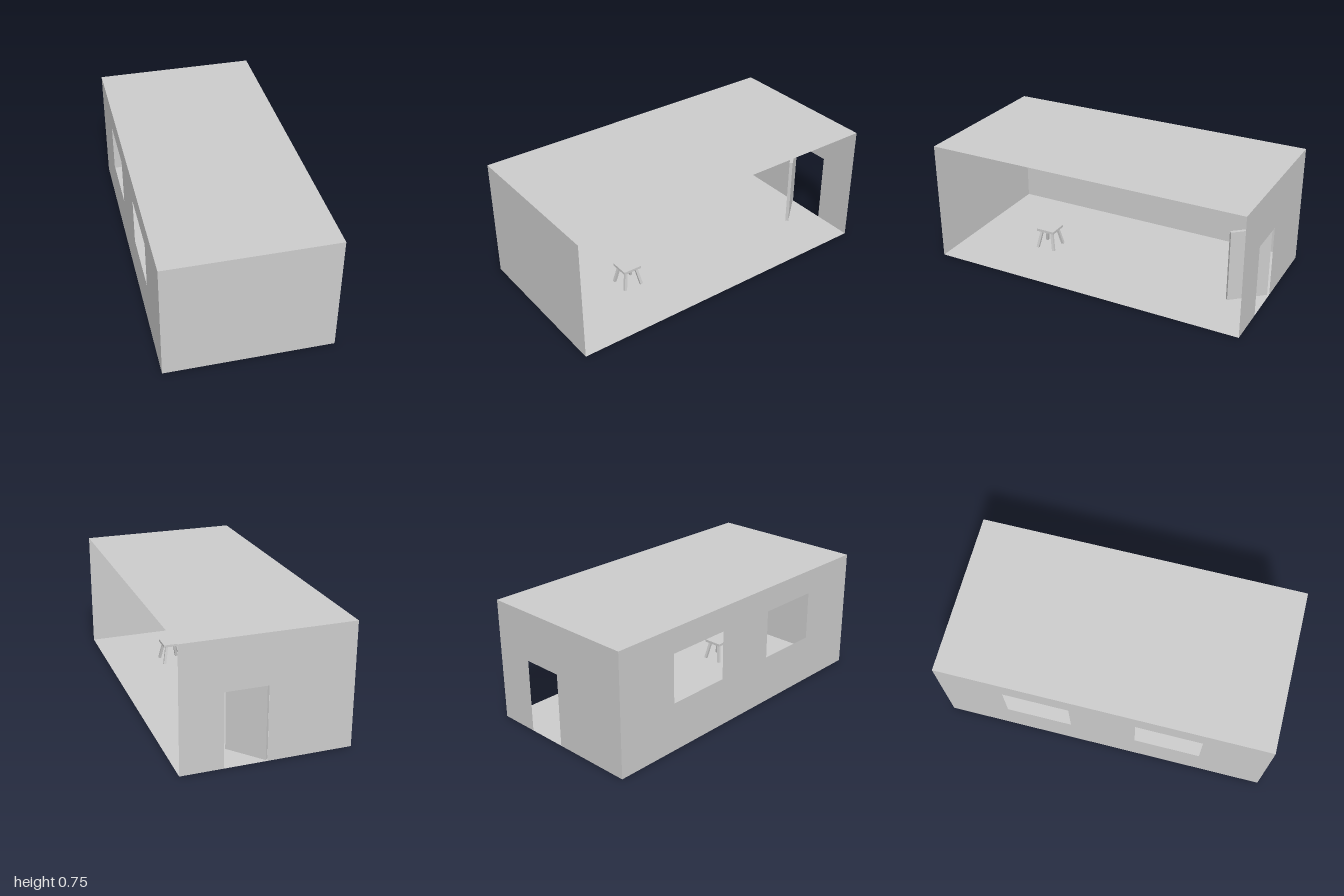
import * as THREE from 'three';

const W = 1, D = 2, H = 0.75, FLOOR = 0.002;
const sheetMat = new THREE.MeshStandardMaterial({ color: 0xcccccc, side: THREE.DoubleSide });
const solidMat = new THREE.MeshStandardMaterial({ color: 0xcccccc });

function polygon(points, Kind = THREE.Shape) {
  return new Kind(points.map(([x, y]) => new THREE.Vector2(x, y)));
}

function rect(x0, y0, x1, y1, Kind) {
  return polygon([[x0, y0], [x1, y0], [x1, y1], [x0, y1]], Kind);
}

function sheet(name, shape) {
  const mesh = new THREE.Mesh(new THREE.ShapeGeometry(shape), sheetMat);
  mesh.name = name;
  return mesh;
}

function box(name, w, h, d) {
  const mesh = new THREE.Mesh(new THREE.BoxGeometry(w, h, d), solidMat);
  mesh.name = name;
  return mesh;
}

// Thin room shell, open on the +x side
function createRoom() {
  const room = new THREE.Group();
  room.name = 'room';

  for (const [name, y] of [['floor', FLOOR], ['ceiling', H]]) {
    const slab = sheet(name, rect(-W / 2, -D / 2, W / 2, D / 2));
    slab.rotation.x = -Math.PI / 2;
    slab.position.y = y;
    room.add(slab);
  }

  const frontWall = sheet('frontWall', rect(-W / 2, FLOOR, W / 2, H));
  frontWall.position.z = D / 2;

  // Back wall with a doorway notched into its lower edge
  const backWall = sheet('backWall', polygon([
    [-W / 2, FLOOR], [0, FLOOR], [0, 0.45], [0.25, 0.45], [0.25, FLOOR],
    [W / 2, FLOOR], [W / 2, H], [-W / 2, H],
  ]));
  backWall.position.z = -D / 2;

  // Long wall with two windows
  const windowShape = rect(-D / 2, FLOOR, D / 2, H);
  for (const z of [-0.4, 0.4]) {
    windowShape.holes.push(rect(z - 0.2, 0.3, z + 0.2, 0.6, THREE.Path));
  }
  const windowWall = sheet('windowWall', windowShape);
  windowWall.rotation.y = -Math.PI / 2;
  windowWall.position.x = -W / 2;

  room.add(frontWall, backWall, windowWall);
  return room;
}

// Door leaf swung half open into the room
function createDoor() {
  const door = box('door', 0.25, 0.45, 0.02);
  door.rotation.y = -THREE.MathUtils.degToRad(49);
  door.position.set(0.08, 0.225, -0.888);
  return door;
}

// Square stool with four splayed legs
function createStool() {
  const stool = new THREE.Group();
  stool.name = 'stool';
  const seat = box('seat', 0.12, 0.016, 0.12);
  seat.position.y = 0.142;
  stool.add(seat);
  const up = new THREE.Vector3(0, 1, 0);
  for (const sx of [-1, 1]) {
    for (const sz of [-1, 1]) {
      const top = new THREE.Vector3(sx * 0.034, 0.137, sz * 0.034);
      const foot = new THREE.Vector3(sx * 0.058, 0.017, sz * 0.058);
      const leg = box('leg', 0.016, top.distanceTo(foot), 0.016);
      leg.position.copy(top).add(foot).multiplyScalar(0.5);
      leg.quaternion.setFromUnitVectors(up, top.sub(foot).normalize());
      stool.add(leg);
    }
  }
  stool.position.set(0.1, 0, 0.45);
  return stool;
}

export function createModel() {
  const model = new THREE.Group();
  model.name = 'openRoom';
  model.add(createRoom(), createDoor(), createStool());
  return model;
}
